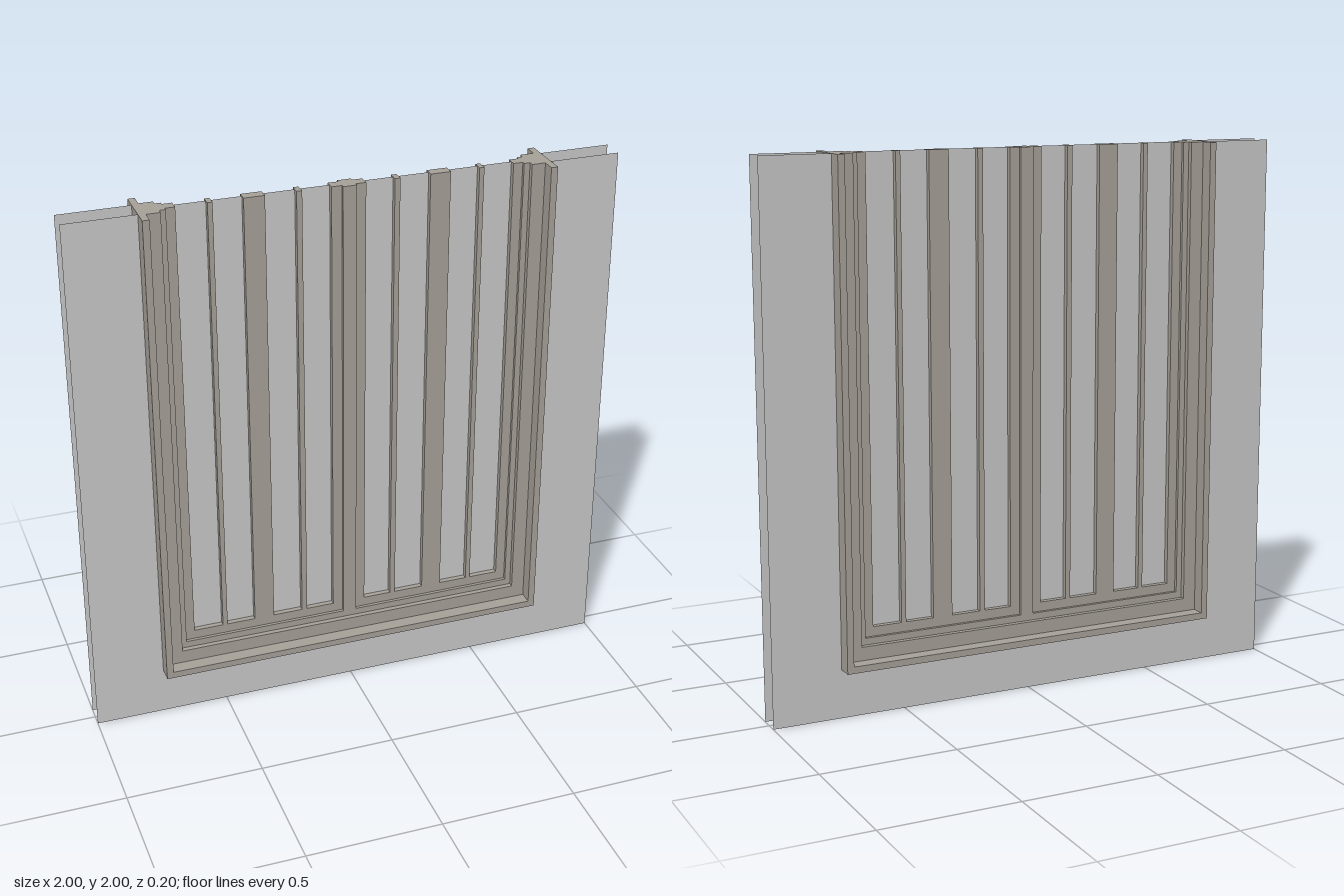
import * as THREE from 'three';

const TOP = 2;

export function createModel() {
  const group = new THREE.Group();
  group.name = 'windowSection';

  const paleGrey = new THREE.MeshStandardMaterial({ color: 0xc9c9c9, side: THREE.DoubleSide });
  paleGrey.name = 'paleGrey';
  const stone = new THREE.MeshStandardMaterial({ color: 0xa8a29a });
  stone.name = 'warmStone';

  const add = (name, geometry, material, z = 0) => {
    const mesh = new THREE.Mesh(geometry, material);
    mesh.name = name;
    mesh.position.z = z;
    group.add(mesh);
  };

  // U-shaped outline, open at the top
  const uShape = (ox, oy, ix, iy) => new THREE.Shape([
    [-ox, TOP], [-ox, oy], [ox, oy], [ox, TOP],
    [ix, TOP], [ix, iy], [-ix, iy], [-ix, TOP],
  ].map(([x, y]) => new THREE.Vector2(x, y)));

  // Frame step, centred in depth with half depth d
  const uFrame = (name, ox, oy, ix, iy, d) =>
    add(name, new THREE.ExtrudeGeometry(uShape(ox, oy, ix, iy), { depth: 2 * d, bevelEnabled: false }), stone, -d);

  // Upright or rail given by its extents
  const bar = (name, x0, x1, y0, y1, d) => {
    const g = new THREE.BoxGeometry(x1 - x0, y1 - y0, 2 * d);
    g.translate((x0 + x1) / 2, (y0 + y1) / 2, 0);
    add(name, g, stone);
  };

  // Wall skins on both sides of the opening
  for (const [name, z] of [['frontWall', 0.043], ['backWall', -0.043]]) {
    add(name, new THREE.ShapeGeometry(uShape(1, 0, 0.73, 0.19)), paleGrey, z);
  }

  // Stepped frame, from the projecting lip inwards
  uFrame('outerLip', 0.74, 0.18, 0.715, 0.205, 0.102);
  uFrame('middleFrame', 0.715, 0.205, 0.665, 0.255, 0.051);
  uFrame('innerFrame', 0.665, 0.255, 0.643, 0.28, 0.032);
  bar('centreMullion', -0.025, 0.025, 0.28, TOP, 0.032);

  // Sashes and glass, mirrored about the mullion
  const panes = [[0.0625, 0.167], [0.187, 0.298], [0.373, 0.48], [0.498, 0.608]];
  const uprights = [[0.025, 0.0625], [0.167, 0.187], [0.298, 0.373], [0.48, 0.498], [0.608, 0.643]];
  for (const [side, s] of [['left', 1], ['right', -1]]) {
    const span = (a, b) => (s > 0 ? [a, b] : [-b, -a]);
    bar(side + 'SashRail', ...span(0.025, 0.643), 0.28, 0.315, 0.02);
    for (const [a, b] of uprights) bar(side + 'SashUpright', ...span(a, b), 0.315, TOP, 0.02);
    for (const [a, b] of panes) {
      const g = new THREE.PlaneGeometry(b - a, TOP - 0.315);
      g.translate(s * (a + b) / 2, (TOP + 0.315) / 2, 0);
      add(side + 'Pane', g, paleGrey);
    }
  }
  return group;
}
